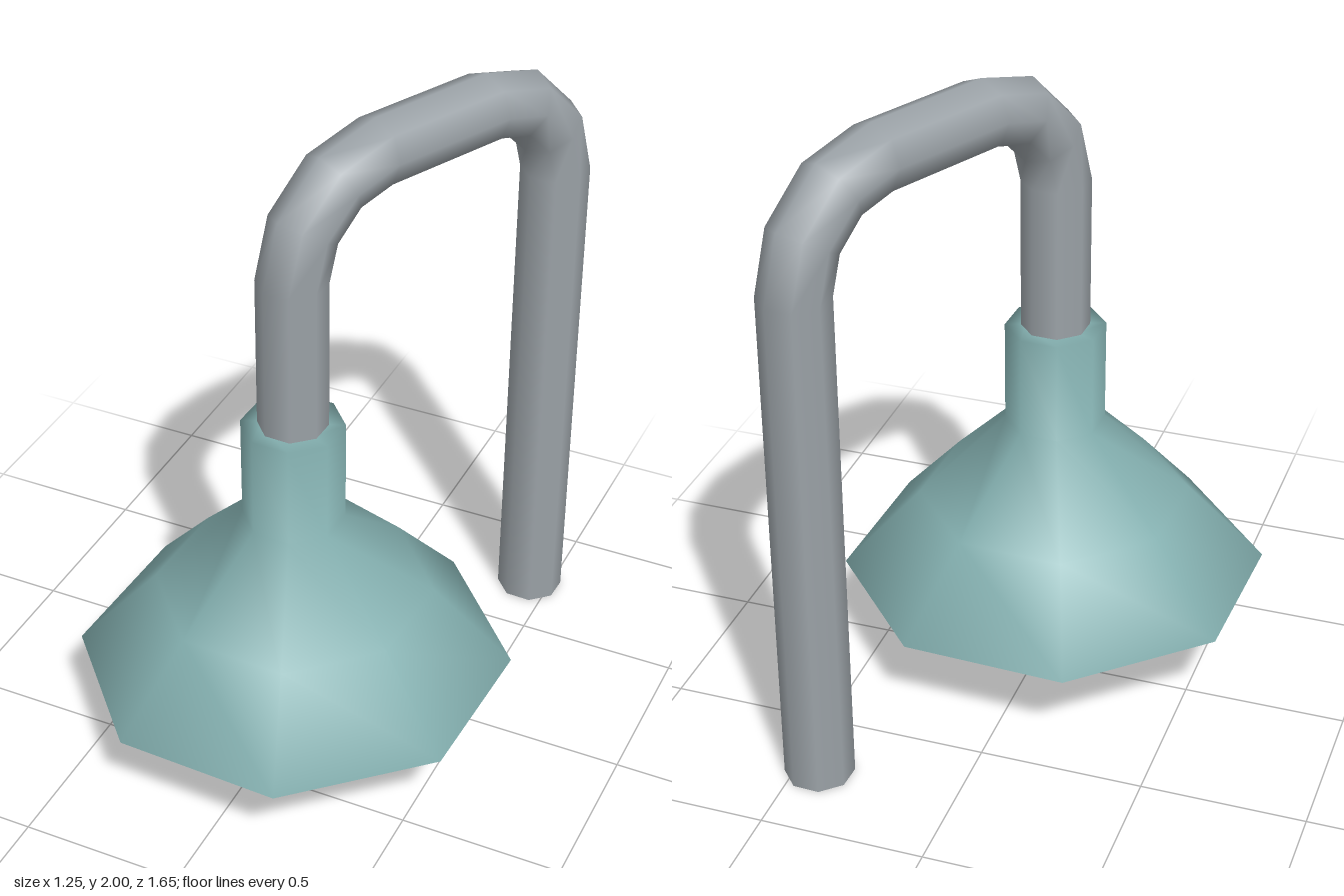
import * as THREE from 'three';

const SIDES = 8;

// Eight-sided turned part from [radius, height] pairs
function turned(name, profile, color) {
  const points = profile.map(([r, y]) => new THREE.Vector2(r, y));
  const geometry = new THREE.LatheGeometry(points, SIDES);
  const mesh = new THREE.Mesh(geometry, new THREE.MeshStandardMaterial({ color }));
  mesh.name = name;
  return mesh;
}

// Hooked pipe: each row of a cylinder is moved to one ring along the path
function hookedPipe(radius, span, bend, startY, bendY) {
  const rings = [{ x: 0, y: startY, a: 0 }];
  for (let i = 0; i <= 7; i++) {
    const step = i < 4 ? i : i - 1;
    const a = (step * Math.PI) / 6;
    const centreX = i < 4 ? bend : span - bend;
    rings.push({ x: centreX - bend * Math.cos(a), y: bendY + bend * Math.sin(a), a });
  }
  rings.push({ x: span, y: 0, a: Math.PI });

  const rows = rings.length - 1;
  const geometry = new THREE.CylinderGeometry(radius, radius, 1, SIDES, rows);
  const pos = geometry.attributes.position;
  const normal = geometry.attributes.normal;
  const axis = new THREE.Vector3(0, 0, 1);
  const v = new THREE.Vector3();
  for (let i = 0; i < pos.count; i++) {
    const ring = rings[Math.round((pos.getY(i) + 0.5) * rows)];
    v.set(pos.getX(i), 0, pos.getZ(i)).applyAxisAngle(axis, -ring.a);
    pos.setXYZ(i, v.x + ring.x, v.y + ring.y, v.z);
    v.fromBufferAttribute(normal, i).applyAxisAngle(axis, -ring.a);
    normal.setXYZ(i, v.x, v.y, v.z);
  }
  return geometry;
}

export function createModel() {
  const model = new THREE.Group();
  model.name = 'hangingLamp';

  // The lamp hangs at the local origin; the pole stands along local +x
  const lamp = new THREE.Group();
  lamp.name = 'lamp';
  lamp.position.set(0, 0, 0.2);
  lamp.rotation.y = 1.138;
  model.add(lamp);

  // Pole and hook
  const pipe = new THREE.Mesh(
    hookedPipe(0.105, 1.025, 0.304, 0.9, 1.59),
    new THREE.MeshStandardMaterial({ color: 0x9ca3a8 })
  );
  pipe.name = 'polePipe';
  lamp.add(pipe);

  // Shade in one smooth profile: shallow hollow, flat lip, flared outside, collar and its top
  lamp.add(turned('shade', [
    [0, 0.5], [0.12, 0.485], [0.46, 0.31], [0.52, 0.267],
    [0.667, 0.262], [0.424, 0.522], [0.154, 0.788], [0.154, 1.112], [0.09, 1.112]
  ], 0x84b0b0));

  // Bulb
  lamp.add(turned('bulb',
    [[0, 0.136], [0.149, 0.184], [0.2, 0.325], [0.149, 0.466], [0, 0.515]],
    0xc8c494));

  return model;
}
